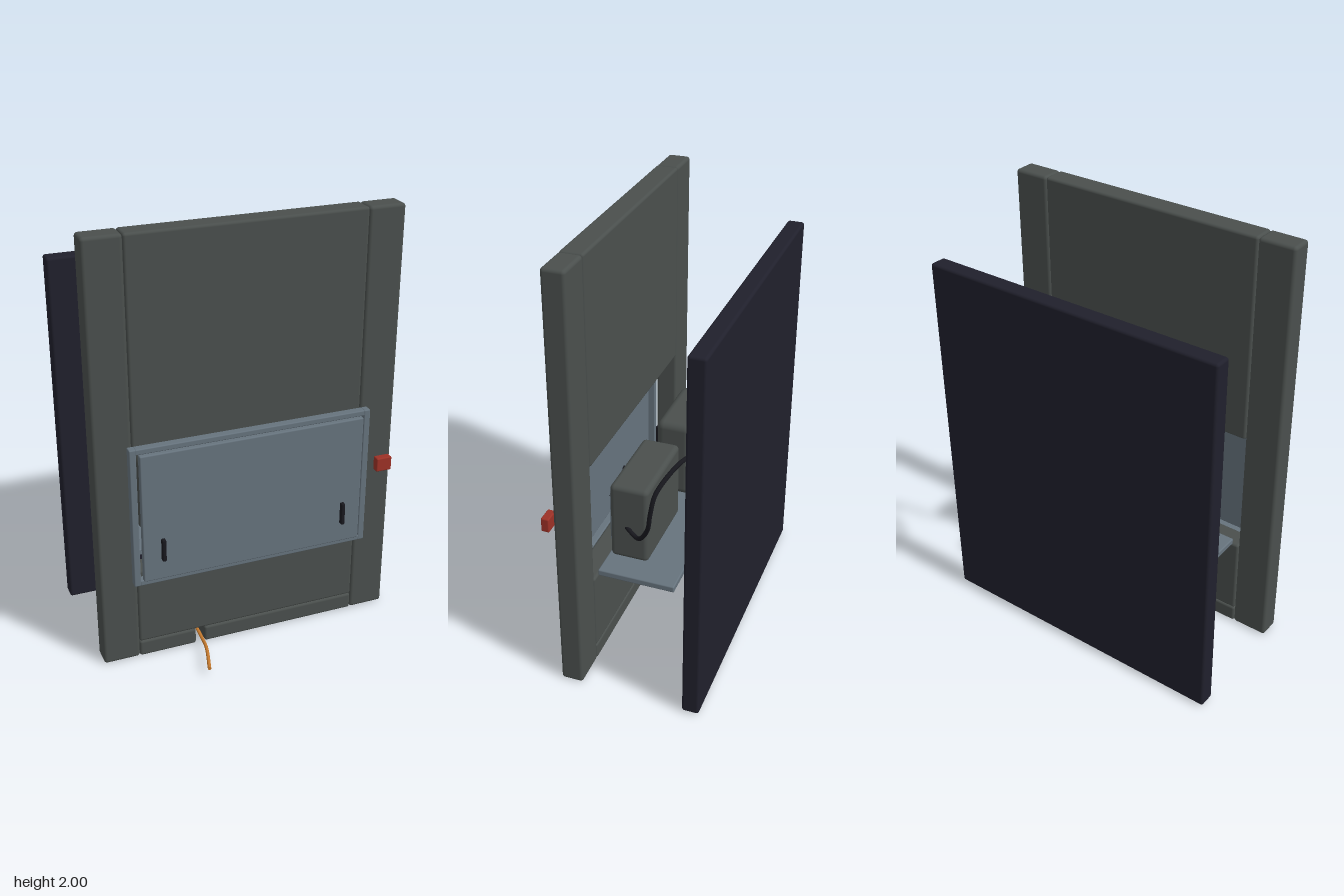
import * as THREE from 'three';
import { RoundedBoxGeometry } from 'three/addons/geometries/RoundedBoxGeometry.js';

const mat = (name, color) => {
  const m = new THREE.MeshStandardMaterial({ color });
  m.name = name;
  return m;
};

export function createModel() {
  const root = new THREE.Group();
  root.name = 'explodedCabinet';
  const casing = mat('casingGrey', 0x4a4f4d);
  const steel = mat('steelBlue', 0x66737d);
  const navy = mat('backNavy', 0x20202c);
  const black = mat('cableBlack', 0x18181e);
  const red = mat('buttonRed', 0x9c3126);
  const orange = mat('cableOrange', 0xc67a2e);

  const add = (name, geometry, material) => {
    const mesh = new THREE.Mesh(geometry, material);
    mesh.name = name;
    root.add(mesh);
    return mesh;
  };

  // Rounded block given by its lower and upper limits on each axis
  const block = (name, material, [x0, x1], [y0, y1], [z0, z1], r = 0.012) => {
    const s = [x1 - x0, y1 - y0, z1 - z0];
    const radius = Math.min(r, Math.min(...s) * 0.45);
    const mesh = add(name, new RoundedBoxGeometry(...s, 3, radius), material);
    mesh.position.set((x0 + x1) / 2, (y0 + y1) / 2, (z0 + z1) / 2);
    return mesh;
  };

  const cable = (name, material, radius, points) => {
    const curve = new THREE.CatmullRomCurve3(points.map((p) => new THREE.Vector3(...p)));
    add(name, new THREE.TubeGeometry(curve, 64, radius, 10), material);
    // Closed ends
    for (const t of [0, 1]) {
      const cap = add(name + 'End', new THREE.CircleGeometry(radius, 10), material);
      const p = curve.getPoint(t);
      cap.position.copy(p);
      cap.lookAt(p.clone().addScaledVector(curve.getTangent(t), t ? 1 : -1));
    }
  };

  // Front wall: two stiles, panels above and below an opening, split plinth
  const wallZ = [0.097, 0.2];
  block('leftStile', casing, [0.535, 0.705], [0, 2], wallZ, 0.015);
  block('rightStile', casing, [-0.705, -0.535], [0, 2], wallZ, 0.015);
  block('upperPanel', casing, [-0.535, 0.535], [1.05, 2], wallZ);
  block('lowerPanel', casing, [-0.535, 0.535], [0.08, 0.46], wallZ);
  block('plinthRight', casing, [-0.535, -0.262], [0, 0.08], wallZ);
  block('plinthLeft', casing, [-0.22, 0.535], [0, 0.08], wallZ);

  // Back panel
  block('backPanel', navy, [-0.718, 0.718], [0.005, 1.75], [-0.455, -0.377]);

  // Door frame, door leaf and handles
  const frameZ = [0.21, 0.25];
  for (const s of [-1, 1]) {
    const side = block('frameSide', steel, [-0.015, 0.015], [0.415, 1.088], frameZ, 0.005);
    side.position.x = s * 0.547;
    const handle = block('handle', black, [-0.009, 0.009], [0.54, 0.648], [0.262, 0.288], 0.005);
    handle.position.x = s * 0.431;
  }
  block('frameTop', steel, [-0.535, 0.535], [1.062, 1.088], frameZ, 0.005);
  block('frameBottom', steel, [-0.535, 0.535], [0.415, 0.441], frameZ, 0.005);
  block('doorLeaf', steel, [-0.522, 0.522], [0.442, 1.061], [0.237, 0.267], 0.006);

  // Push button
  block('button', red, [0.598, 0.673], [0.775, 0.842], [0.237, 0.274], 0.006);

  // Shelf and the two units above it
  block('shelf', steel, [-0.512, 0.512], [0.47, 0.5], [-0.265, 0.09], 0.006);
  block('rightUnit', casing, [-0.465, -0.09], [0.555, 0.935], [-0.13, 0.04], 0.035);
  block('leftUnit', casing, [0.05, 0.465], [0.56, 0.93], [-0.128, 0.047], 0.022);
  block('rightUnitPlate', black, [-0.42, -0.13], [0.61, 0.88], [0.03, 0.056], 0.006);
  block('rightUnitSwitch', black, [-0.31, -0.24], [0.715, 0.775], [0.076, 0.085], 0.003);
  block('leftUnitPlate', steel, [0.09, 0.43], [0.62, 0.87], [0.044, 0.06], 0.005);

  // Dials and terminals on the left unit
  for (const [x, y, r] of [[0.16, 0.82, 0.024], [0.36, 0.82, 0.028], [0.225, 0.86, 0.014], [0.3, 0.78, 0.014]]) {
    const dial = add('dial', new THREE.CylinderGeometry(r, r, 0.02, 20), black);
    dial.rotation.x = Math.PI / 2;
    dial.position.set(x, y, 0.067);
  }
  block('terminal', orange, [0.22, 0.29], [0.645, 0.68], [0.055, 0.065], 0.003);

  // Orange lead between the units, and the supply lead out through the plinth
  cable('unitLead', orange, 0.008, [
    [0.24, 0.66, 0.062], [0.1, 0.62, 0.065], [0.03, 0.56, 0.082],
    [-0.1, 0.53, 0.087], [-0.19, 0.55, 0.075], [-0.24, 0.59, 0.058]]);
  cable('supplyLead', orange, 0.008, [
    [-0.24, 0.6, 0.055], [-0.24, 0.5, 0.068], [-0.24, 0.35, 0.088], [-0.24, 0.16, 0.086],
    [-0.24, 0.06, 0.1], [-0.24, 0.035, 0.2], [-0.25, 0.042, 0.3], [-0.29, 0.042, 0.452]]);

  // Black cable from the left unit to the back panel
  cable('backCable', black, 0.01, [
    [0.455, 0.725, -0.025], [0.51, 0.72, -0.1], [0.565, 0.82, -0.165], [0.587, 0.92, -0.186],
    [0.575, 1.02, -0.207], [0.48, 1.11, -0.265], [0.38, 1.125, -0.31], [0.27, 1.135, -0.358]]);

  return root;
}
